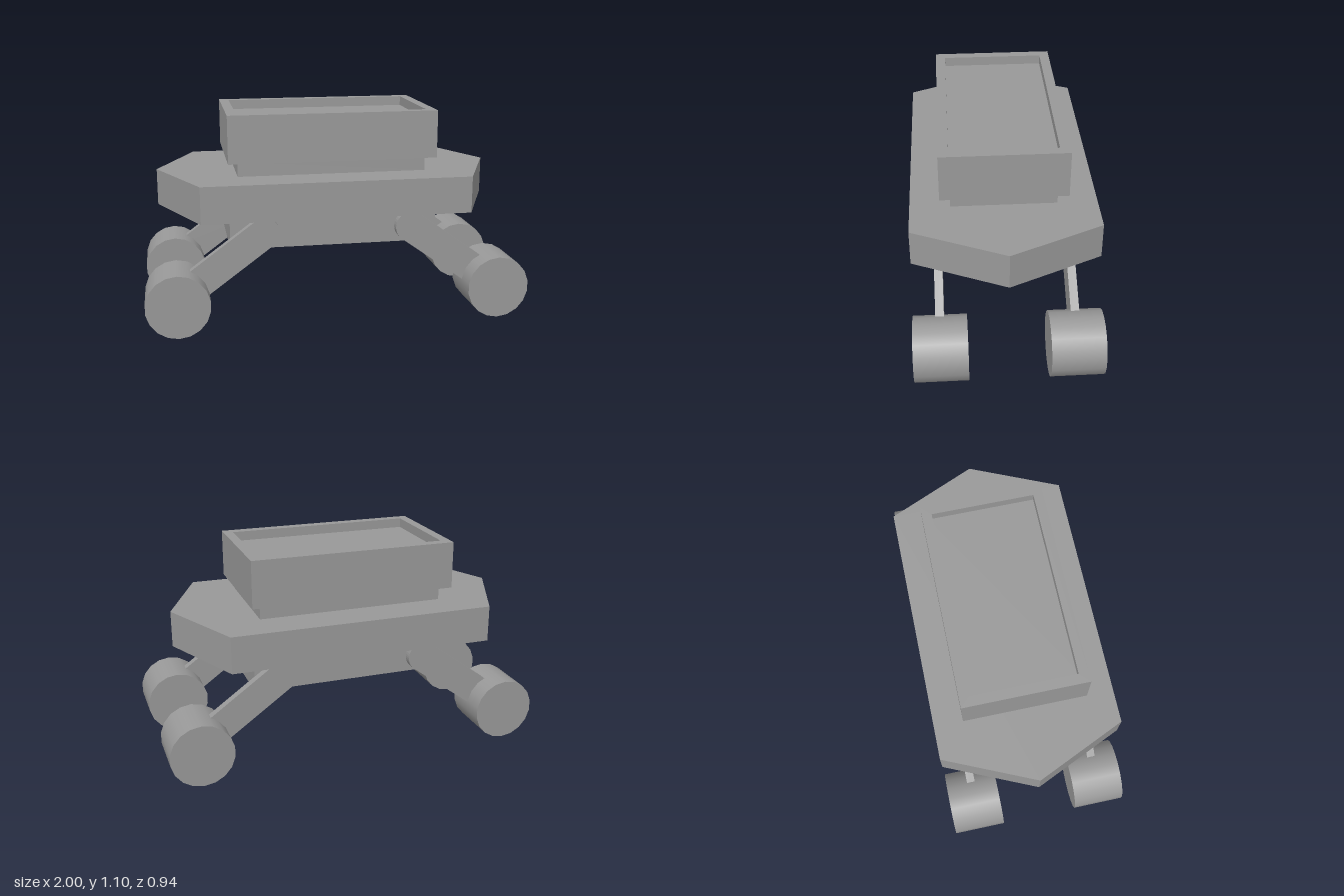
import * as THREE from 'three';

const grey = new THREE.MeshStandardMaterial({ color: 0x999999 });
grey.name = 'grey';

export function createModel() {
  const model = new THREE.Group();
  model.name = 'rover';

  function add(name, geometry, x = 0, y = 0, z = 0, parent = model) {
    const mesh = new THREE.Mesh(geometry, grey);
    mesh.name = name;
    mesh.position.set(x, y, z);
    parent.add(mesh);
    return mesh;
  }

  // Extrudes a ground-plan shape straight up from height y
  function addSlab(name, shape, y, height) {
    const geometry = new THREE.ExtrudeGeometry(shape, { depth: height, bevelEnabled: false });
    geometry.rotateX(-Math.PI / 2);
    return add(name, geometry, 0, y, 0);
  }

  const plan = (points) => points.map(([x, z]) => new THREE.Vector2(x, z));
  const rect = (x0, x1, z) => plan([[x0, -z], [x1, -z], [x1, z], [x0, z]]);

  // Belly, pointed hull deck and neck
  addSlab('belly', new THREE.Shape(rect(-0.56, 0.525, 0.318)), 0.41, 0.18);
  addSlab('hull', new THREE.Shape(plan([
    [-0.917, 0], [-0.71, -0.468], [0.673, -0.468],
    [0.88, 0], [0.673, 0.468], [-0.71, 0.468],
  ])), 0.588, 0.19);
  addSlab('neck', new THREE.Shape(rect(-0.51, 0.475, 0.267)), 0.778, 0.075);

  // Open-topped cargo box: solid base with a raised rim
  addSlab('cargoBase', new THREE.Shape(rect(-0.56, 0.525, 0.318)), 0.853, 0.197);
  const rim = new THREE.Shape(rect(-0.56, 0.525, 0.318));
  rim.holes.push(new THREE.Path(rect(-0.51, 0.475, 0.267).reverse()));
  addSlab('cargoRim', rim, 1.05, 0.05);

  // Four legs: a round-ended arm running down into a wide wheel
  const armRadius = 0.08;
  const armDepth = 0.043;
  for (const [sideName, shoulderX, wheelX, wheelY] of [
    ['right', -0.388, -0.837, 0.167],
    ['left', 0.383, 0.837, 0.172],
  ]) {
    for (const [endName, end] of [['front', 1], ['back', -1]]) {
      const leg = new THREE.Group();
      leg.name = `${endName}${sideName === 'left' ? 'Left' : 'Right'}Leg`;
      model.add(leg);

      const dx = wheelX - shoulderX;
      const dy = wheelY - 0.497;
      const length = Math.hypot(dx, dy);
      const outline = new THREE.Shape();
      outline.absarc(0, 0, armRadius, Math.PI / 2, Math.PI * 1.5, false);
      outline.lineTo(length, -armRadius);
      outline.lineTo(length, armRadius);
      outline.closePath();
      const armGeometry = new THREE.ExtrudeGeometry(outline, {
        depth: armDepth, bevelEnabled: false, curveSegments: 10,
      });
      armGeometry.translate(0, 0, -armDepth / 2);
      const arm = add('arm', armGeometry, shoulderX, 0.497, end * 0.338, leg);
      arm.rotation.z = Math.atan2(dy, dx);

      const wheelGeometry = new THREE.CylinderGeometry(0.165, 0.165, 0.27, 18);
      wheelGeometry.rotateX(Math.PI / 2);
      add('wheel', wheelGeometry, wheelX, wheelY, end * 0.337, leg);
    }
  }
  return model;
}
